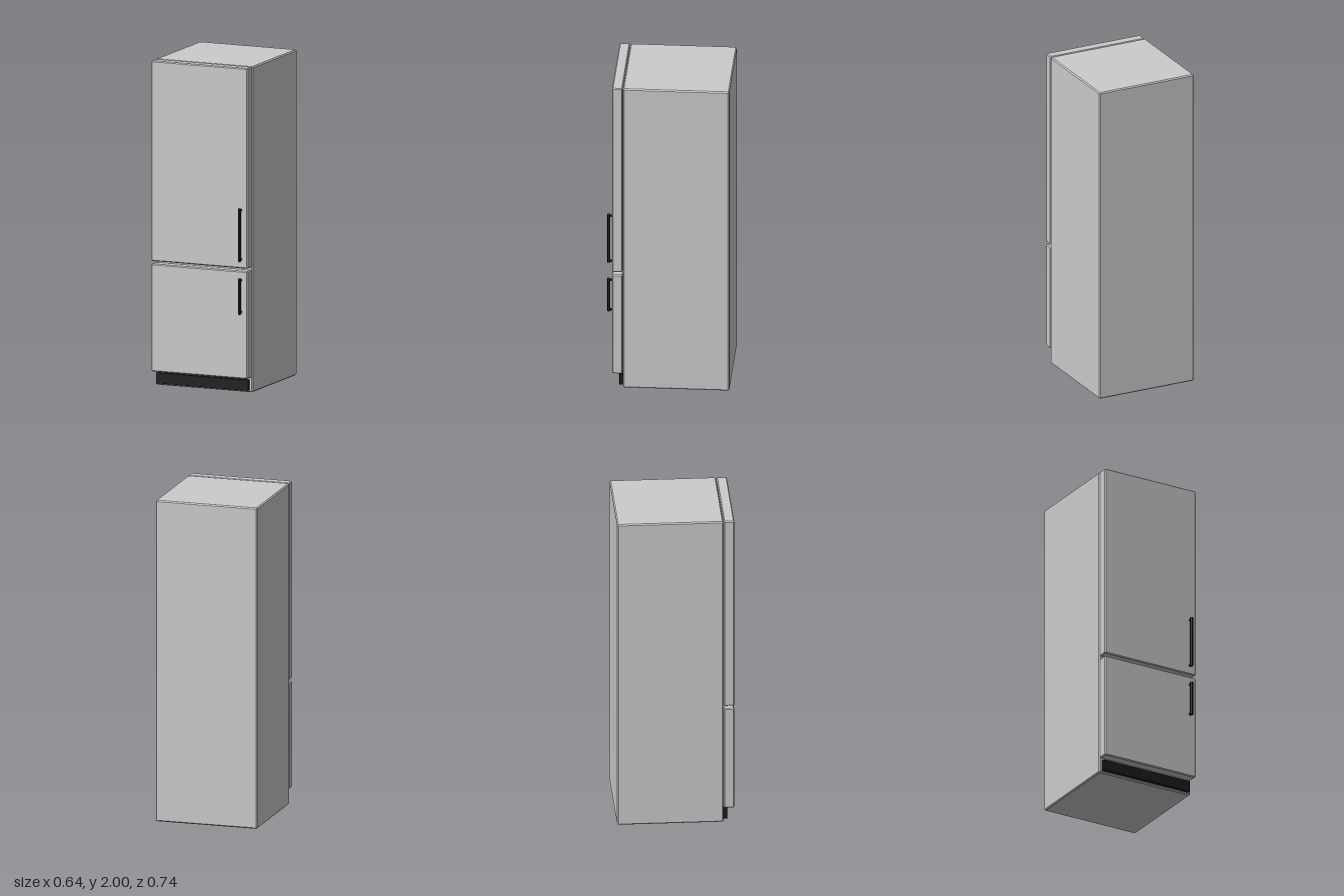
import * as THREE from 'three';
import { ConvexGeometry } from 'three/addons/geometries/ConvexGeometry.js';

const grey = new THREE.MeshStandardMaterial({ color: 0xcccccc });
const black = new THREE.MeshStandardMaterial({ color: 0x1c1c1c });

// Box with a single flat chamfer on every edge, given by its min and max corners
function chamferBox(name, min, max, bevel, material) {
  const half = min.map((v, i) => (max[i] - v) / 2);
  const points = [];
  for (const sx of [-1, 1]) for (const sy of [-1, 1]) for (const sz of [-1, 1]) {
    for (let axis = 0; axis < 3; axis++) {
      const p = half.map((h, i) => (i === axis ? h : h - bevel));
      points.push(new THREE.Vector3(sx * p[0], sy * p[1], sz * p[2]));
    }
  }
  const mesh = new THREE.Mesh(new ConvexGeometry(points), material);
  mesh.position.set(...min.map((v, i) => (v + max[i]) / 2));
  mesh.name = name;
  return mesh;
}

// Upright bar held off the door by two short posts
function handle(name, bottom, top) {
  const group = new THREE.Group();
  group.name = name;
  const x = 0.277;
  group.add(chamferBox('handleBar', [x - 0.008, bottom, 0.353], [x + 0.008, top, 0.371], 0.003, black));
  for (const y of [bottom + 0.012, top - 0.012]) {
    const post = new THREE.Mesh(new THREE.BoxGeometry(0.011, 0.011, 0.026), black);
    post.position.set(x, y, 0.346);
    post.name = 'handlePost';
    group.add(post);
  }
  return group;
}

export function createModel() {
  const model = new THREE.Group();
  model.name = 'fridgeFreezer';

  // Cabinet
  model.add(chamferBox('cabinet', [-0.322, 0, -0.372], [0.322, 2, 0.273], 0.007, grey));

  // Doors with their handles
  model.add(chamferBox('fridgeDoor', [-0.32, 0.77, 0.275], [0.32, 2, 0.339], 0.006, grey));
  model.add(chamferBox('freezerDoor', [-0.32, 0.092, 0.275], [0.32, 0.753, 0.339], 0.006, grey));
  model.add(handle('fridgeHandle', 0.815, 1.14));
  model.add(handle('freezerHandle', 0.49, 0.71));

  // Dark plinth below the doors
  const plinth = new THREE.Mesh(new THREE.BoxGeometry(0.606, 0.066, 0.03), black);
  plinth.position.set(0, 0.046, 0.283);
  plinth.name = 'plinth';
  model.add(plinth);

  return model;
}
